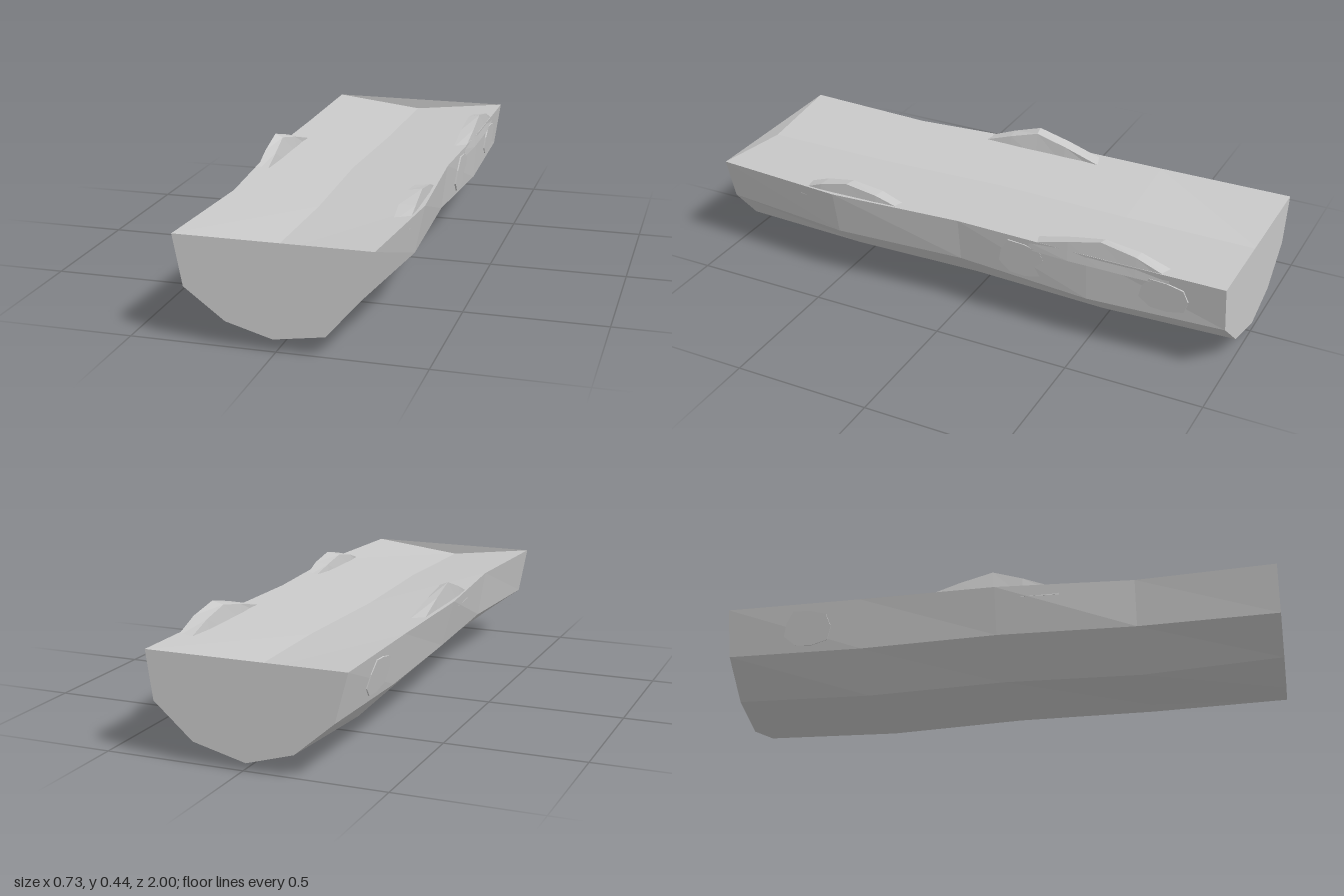
import * as THREE from 'three';

const wood = new THREE.MeshStandardMaterial({ color: 0xc8c8c8, flatShading: true, side: THREE.DoubleSide });
wood.name = 'pale grey wood';

// Skin a series of closed cross-sections (counter-clockwise seen from +z, z increasing).
// capCount is how many points of the first and last section form the end faces.
function loft(name, sections, capCount) {
  const n = sections[0].points.length;
  const pos = [], index = [];
  for (const s of sections) for (const [x, y] of s.points) pos.push(x, y, s.z);
  for (let j = 0; j < sections.length - 1; j++) {
    for (let i = 0; i < n; i++) {
      const k = (i + 1) % n;
      const a = j * n + i, b = j * n + k, c = (j + 1) * n + k, d = (j + 1) * n + i;
      index.push(a, b, c, a, c, d);
    }
  }
  const last = (sections.length - 1) * n;
  for (let i = 1; i < capCount - 1; i++) {
    index.push(0, i + 1, i, last, last + i, last + i + 1);
  }
  let geo = new THREE.BufferGeometry();
  geo.setAttribute('position', new THREE.Float32BufferAttribute(pos, 3));
  geo.setIndex(index);
  geo = geo.toNonIndexed();
  geo.computeVertexNormals();
  const mesh = new THREE.Mesh(geo, wood);
  mesh.name = name;
  return mesh;
}

// Standing sliver of bark on the rim; rows are [z, outer x, inner x, height]
function barkChip(name, side, rows) {
  const sections = rows.map(([z, outer, inner, top]) => {
    const lean = Math.max(0, top - 0.36) * 0.25;
    const pts = [
      [side * inner, 0.33],
      [side * outer, 0.33],
      [side * (outer - lean * 0.4), top],
      [side * (inner + lean), top - Math.max(0, top - 0.36) * 0.15],
    ];
    return { z, points: side > 0 ? pts : pts.reverse() };
  });
  return loft(name, sections, 4);
}

// Thin irregular patch lying against the side of the log
function knot(name, x, y, z, tilt, w, h) {
  const shape = new THREE.Shape();
  for (let i = 0; i < 9; i++) {
    const a = (i / 9) * Math.PI * 2;
    const r = 1 + 0.1 * Math.sin(i * 2.6);
    shape[i ? 'lineTo' : 'moveTo'](Math.cos(a) * w * r, Math.sin(a) * h * r);
  }
  shape.closePath();
  const geo = new THREE.ExtrudeGeometry(shape, { depth: 0.006, bevelEnabled: false });
  const mesh = new THREE.Mesh(geo, wood);
  mesh.position.set(x, y, z);
  mesh.lookAt(x + Math.sign(x), y - tilt, z);
  mesh.name = name;
  return mesh;
}

export function createModel() {
  const group = new THREE.Group();
  group.name = 'halfLog';

  // Log body: left rim, around the underside, right rim, then the sunken centre line
  const rings = [
    { z: -1, points: [[-0.366, 0.37], [-0.32, 0.2], [-0.18, 0.08], [-0.01, 0.03], [0.18, 0.078], [0.32, 0.2], [0.345, 0.37], [-0.02, 0.33]] },
    { z: -0.5, points: [[-0.36, 0.37], [-0.32, 0.19], [-0.19, 0.06], [-0.007, 0.003], [0.175, 0.058], [0.33, 0.187], [0.345, 0.37], [-0.015, 0.335]] },
    { z: 0, points: [[-0.36, 0.37], [-0.315, 0.2], [-0.18, 0.075], [0, 0.028], [0.175, 0.073], [0.31, 0.205], [0.332, 0.37], [-0.03, 0.335]] },
    { z: 0.5, points: [[-0.317, 0.37], [-0.29, 0.2], [-0.15, 0.075], [0.025, 0.034], [0.19, 0.075], [0.33, 0.2], [0.364, 0.37], [-0.01, 0.335]] },
    { z: 1, points: [[-0.343, 0.37], [-0.31, 0.195], [-0.17, 0.09], [-0.01, 0.045], [0.165, 0.072], [0.28, 0.205], [0.325, 0.37], [-0.02, 0.33]] },
  ];
  group.add(loft('logBody', rings, 7));

  // Bark slivers along both rims
  group.add(barkChip('leftRimFrontBark', 1, [
    [0.21, 0.335, 0.3, 0.355], [0.33, 0.345, 0.28, 0.395], [0.45, 0.348, 0.278, 0.414],
    [0.56, 0.35, 0.28, 0.39], [0.65, 0.345, 0.29, 0.355],
  ]));
  group.add(barkChip('leftRimRearBark', 1, [
    [-0.8, 0.342, 0.29, 0.36], [-0.68, 0.346, 0.278, 0.407], [-0.55, 0.346, 0.278, 0.431],
    [-0.43, 0.346, 0.28, 0.403], [-0.28, 0.338, 0.29, 0.36],
  ]));
  group.add(barkChip('rightRimBark', -1, [
    [-0.28, 0.343, 0.29, 0.36], [-0.13, 0.345, 0.288, 0.41], [-0.01, 0.346, 0.288, 0.442],
    [0.1, 0.345, 0.289, 0.405], [0.23, 0.335, 0.295, 0.355],
  ]));

  // Flat patches on the sides
  group.add(knot('leftRearKnot', 0.332, 0.28, -0.78, 0.12, 0.09, 0.065));
  group.add(knot('leftMiddleKnot', 0.327, 0.28, -0.25, 0.11, 0.09, 0.075));
  group.add(knot('rightRearKnot', -0.34, 0.28, -0.7, 0.24, 0.09, 0.07));

  return group;
}
